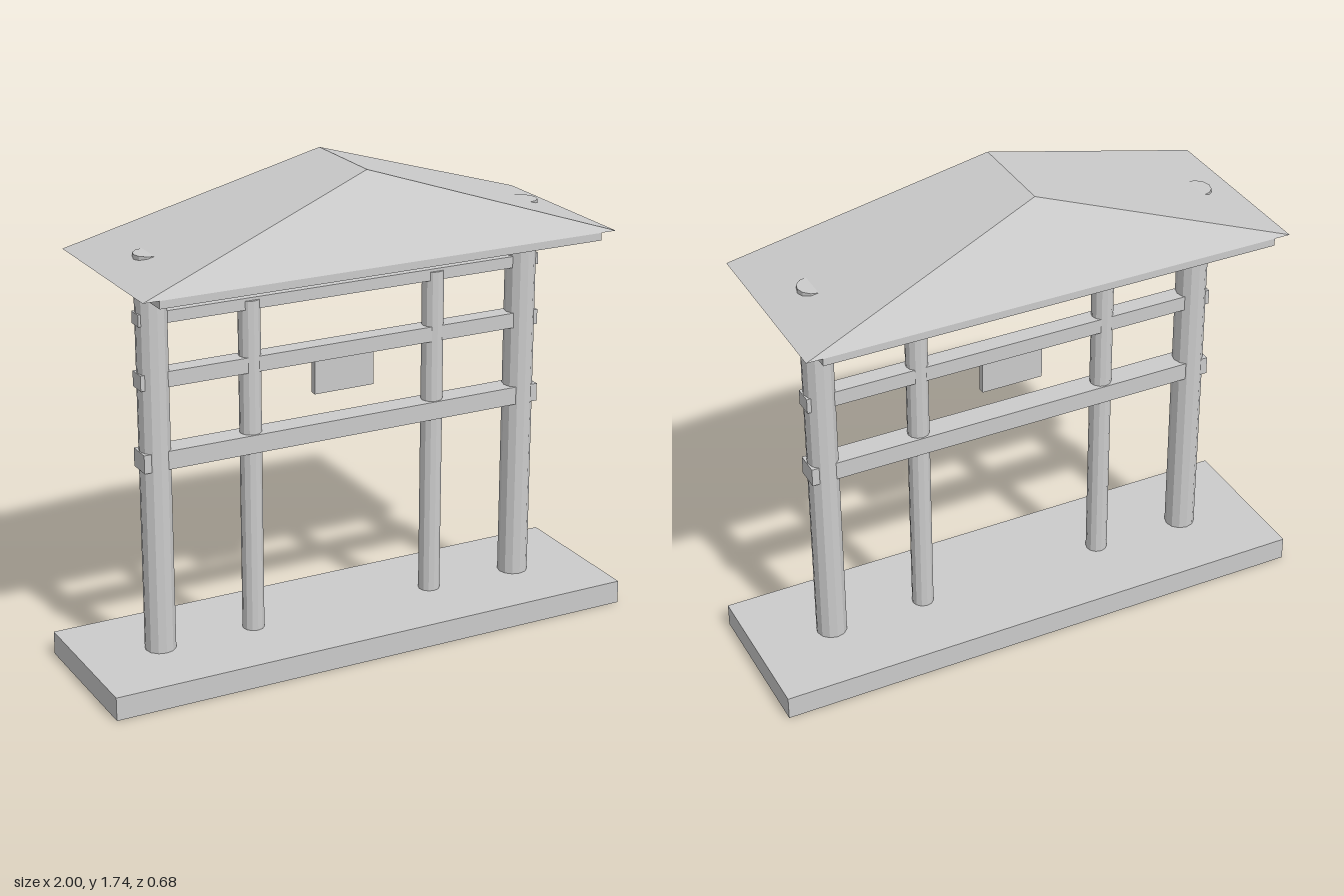
import * as THREE from 'three';

const material = new THREE.MeshStandardMaterial({ color: 0xcccccc, flatShading: true });

function add(group, name, geometry, x, y, z) {
  const mesh = new THREE.Mesh(geometry, material);
  mesh.name = name;
  mesh.position.set(x, y, z);
  group.add(mesh);
}

// Box centred on x and z, spanning two heights
function slab(group, name, width, bottom, top, depth) {
  add(group, name, new THREE.BoxGeometry(width, top - bottom, depth), 0, (bottom + top) / 2, 0);
}

// Matching posts on both sides
function postPair(group, name, x, radius, bottom, top) {
  for (const [side, sign] of [['left', 1], ['right', -1]]) {
    const geometry = new THREE.CylinderGeometry(radius, radius, top - bottom, 12);
    add(group, side + name, geometry, sign * x, (bottom + top) / 2, 0);
  }
}

// Gabled roof whose ridge is shorter than its eaves, with a flat underside
function roofGeometry(halfWidth, halfDepth, halfRidge, eaveY, ridgeY) {
  const positions = [
    -halfWidth, eaveY, halfDepth, halfWidth, eaveY, halfDepth,
    halfWidth, eaveY, -halfDepth, -halfWidth, eaveY, -halfDepth,
    0, ridgeY, halfRidge, 0, ridgeY, -halfRidge,
  ];
  const faces = [
    0, 1, 4, 2, 3, 5, // front and back
    1, 2, 5, 1, 5, 4, // left slope
    3, 0, 4, 3, 4, 5, // right slope
    0, 3, 2, 0, 2, 1, // underside
  ];
  const indexed = new THREE.BufferGeometry();
  indexed.setAttribute('position', new THREE.Float32BufferAttribute(positions, 3));
  indexed.setIndex(faces);
  const geometry = indexed.toNonIndexed();
  geometry.computeVertexNormals();
  return geometry;
}

export function createModel() {
  const gate = new THREE.Group();
  gate.name = 'gate';

  slab(gate, 'base', 2, 0, 0.085, 0.57);

  // Posts: the outer ones just break through the roof
  postPair(gate, 'OuterPost', 0.715, 0.055, 0.08, 1.512);
  postPair(gate, 'InnerPost', 0.357, 0.039, 0.08, 1.302);

  // Crossbeams passing through the posts
  slab(gate, 'lowerBeam', 1.545, 0.757, 0.823, 0.088);
  slab(gate, 'middleBeam', 1.545, 1.047, 1.102, 0.066);
  slab(gate, 'upperBeam', 1.545, 1.27, 1.312, 0.054);

  // Blank plaque hanging below the middle beam
  slab(gate, 'plaque', 0.23, 0.92, 1.06, 0.024);

  // Roof
  slab(gate, 'eaveBoard', 1.655, 1.43, 1.46, 0.68);
  add(gate, 'roof', roofGeometry(0.885, 0.342, 0.172, 1.458, 1.743), 0, 0, 0);

  return gate;
}
